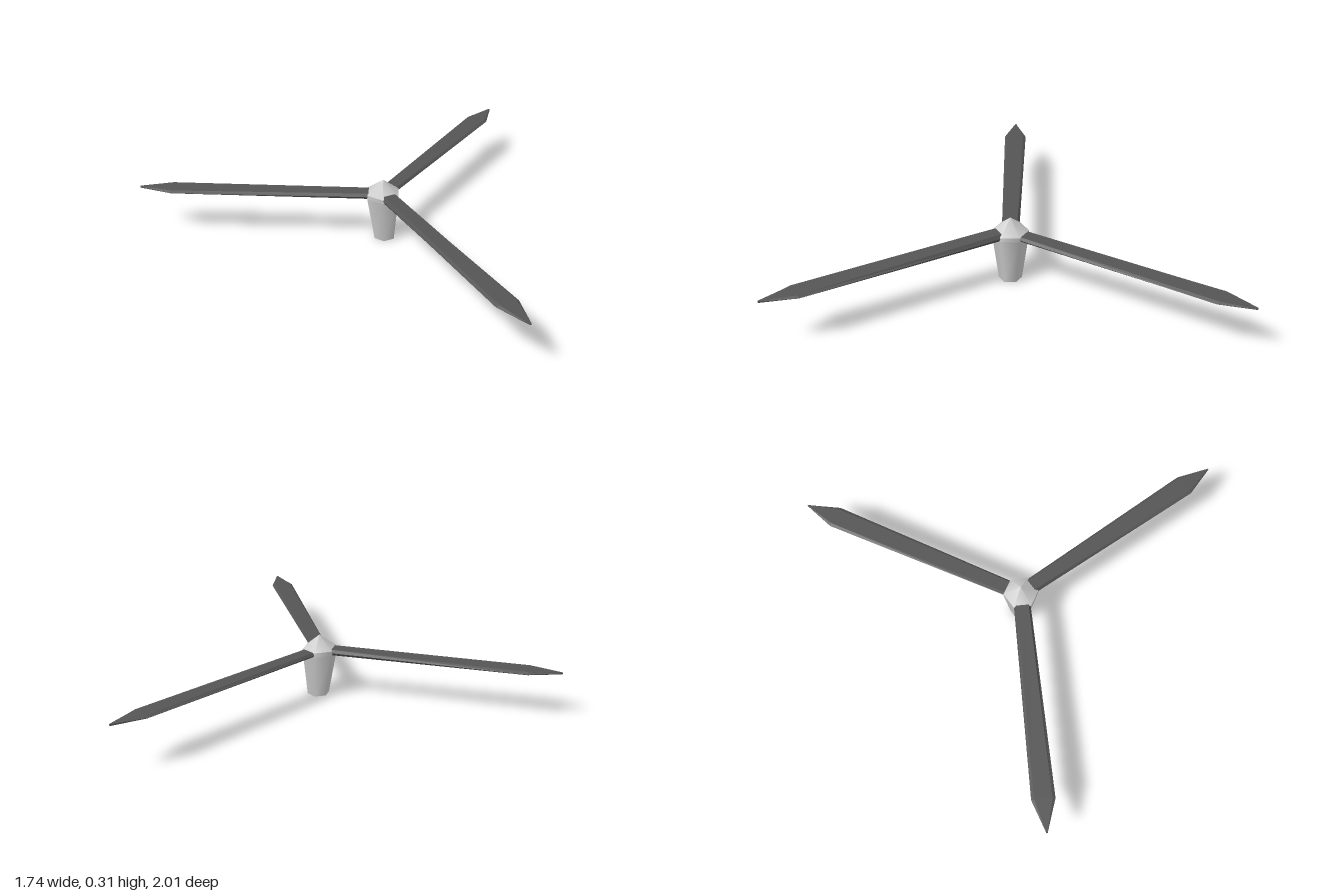
import * as THREE from 'three';

const HUB_X = 0.288;

// Loft a blade along +x from hexagonal cross-sections; rootTop is the height of its upper face at the hub.
function bladeGeometry(rootTop) {
  // [distance from hub axis, half width, bottom, top]
  const stations = [
    [0.06, 0.04, 0.217, rootTop],
    [1.005, 0.055, 0.221, 0.237],
    [1.158, 0.003, 0.226, 0.234],
    [1.159, 0, 0.23, 0.23],
  ];
  const rings = stations.map(([r, w, lo, hi]) => {
    const mid = (lo + hi) / 2;
    return [[hi, -0.75], [hi, 0.75], [mid, 1], [lo, 0.75], [lo, -0.75], [mid, -1]]
      .map(([y, k]) => [r, y, k * w]);
  });
  const pos = [];
  for (let i = 0; i < rings.length - 1; i++) {
    for (let j = 0; j < 6; j++) {
      const k = (j + 1) % 6;
      const a = rings[i][j], b = rings[i][k], c = rings[i + 1][k], d = rings[i + 1][j];
      pos.push(...a, ...b, ...c, ...a, ...c, ...d);
    }
  }
  const g = new THREE.BufferGeometry();
  g.setAttribute('position', new THREE.Float32BufferAttribute(pos, 3));
  g.computeVertexNormals();
  return g;
}

export function createModel() {
  const group = new THREE.Group();
  group.name = 'rotor';
  const hubGrey = new THREE.MeshStandardMaterial({ color: 0xcccccc, side: THREE.DoubleSide });
  hubGrey.name = 'light grey';
  const bladeGrey = new THREE.MeshStandardMaterial({ color: 0x555555 });
  bladeGrey.name = 'dark grey';

  const add = (name, geometry, material, x, y) => {
    const mesh = new THREE.Mesh(geometry, material);
    mesh.name = name;
    mesh.position.set(x, y, 0);
    group.add(mesh);
    return mesh;
  };

  // Tapered six-sided shaft, open below and leaning slightly at the foot
  const shaft = new THREE.CylinderGeometry(0.084, 0.053, 0.22, 6, 1, true);
  const p = shaft.attributes.position;
  for (let i = 0; i < p.count; i++) if (p.getY(i) < 0) p.setX(i, p.getX(i) + 0.013);
  add('shaft', shaft, hubGrey, HUB_X, 0.11);

  // Hub collar and pointed cap
  add('collar', new THREE.CylinderGeometry(0.084, 0.084, 0.02, 6, 1, true), hubGrey, HUB_X, 0.23);
  add('noseCap', new THREE.ConeGeometry(0.084, 0.065, 6, 1, true), hubGrey, HUB_X, 0.2725);

  // Three blades
  [[Math.PI, 0.245], [Math.PI / 3, 0.24], [-Math.PI / 3, 0.251]].forEach(([angle, top], i) => {
    add(`blade${i + 1}`, bladeGeometry(top), bladeGrey, HUB_X, 0).rotation.y = angle;
  });
  return group;
}
